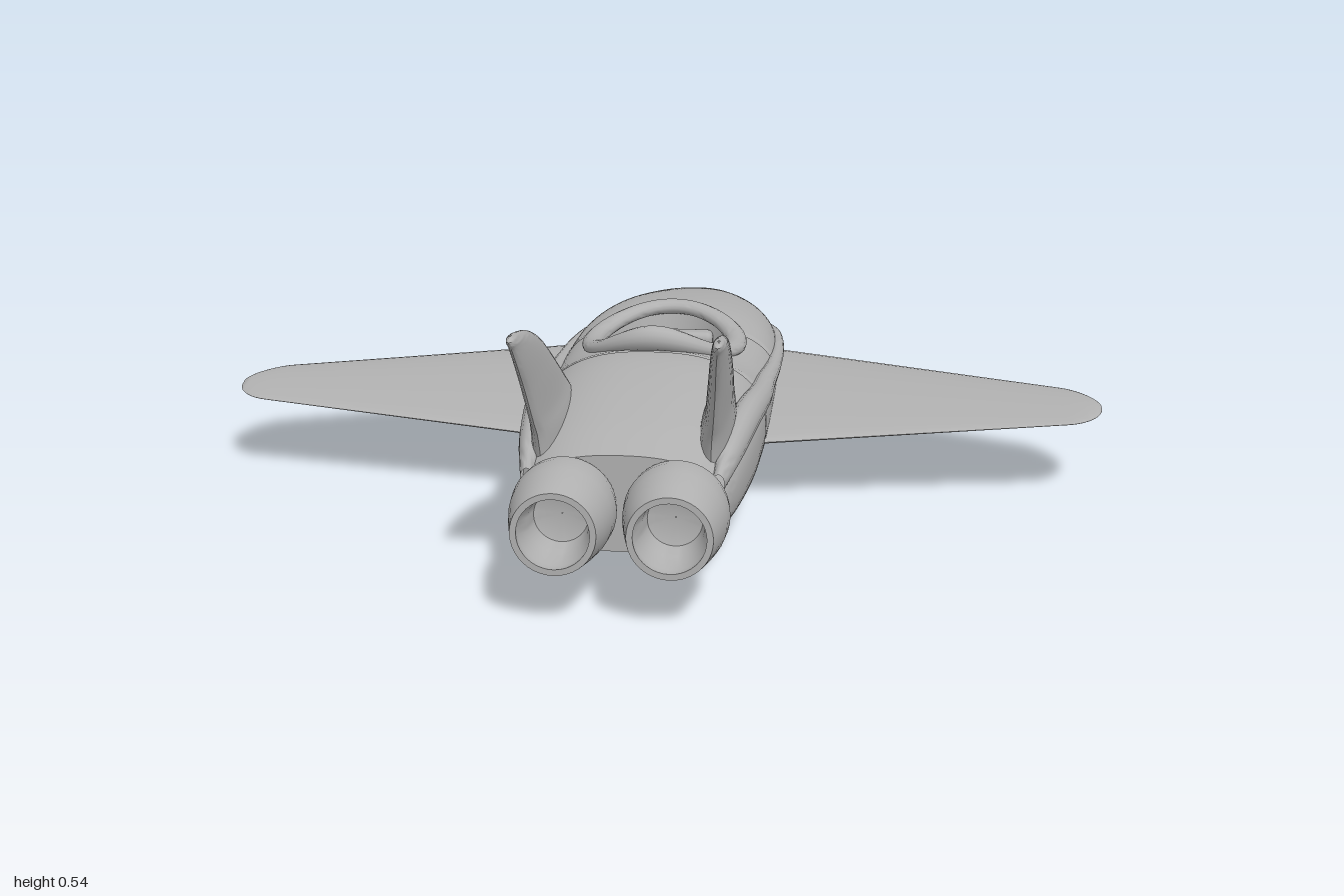
import * as THREE from 'three';
import { toCreasedNormals } from 'three/addons/utils/BufferGeometryUtils.js';
import { RoundedBoxGeometry } from 'three/addons/geometries/RoundedBoxGeometry.js';

const TAU = Math.PI * 2;

// Smooth interpolation through rows [key, a, b, ...]; returns [a, b, ...]
function follow(rows, k) {
  const n = rows.length;
  k = Math.min(Math.max(k, rows[0][0]), rows[n - 1][0]);
  let i = 0;
  while (i < n - 2 && k > rows[i + 1][0]) i++;
  const slope = (j, c) => {
    const a = rows[Math.max(j - 1, 0)], b = rows[Math.min(j + 1, n - 1)];
    return (b[c] - a[c]) / (b[0] - a[0]);
  };
  const p = rows[i], q = rows[i + 1], h = q[0] - p[0], t = (k - p[0]) / h;
  const t2 = t * t, t3 = t2 * t;
  return p.slice(1).map((_, m) => {
    const c = m + 1;
    return (2 * t3 - 3 * t2 + 1) * p[c] + (t3 - 2 * t2 + t) * h * slope(i, c)
      + (3 * t2 - 2 * t3) * q[c] + (t3 - t2) * h * slope(i + 1, c);
  });
}

// Surface from a rule at(u, v) -> [x, y, z]; quads wholly inside `skip` are left out
function loft(nu, nv, at, skip = () => false) {
  const pos = [], idx = [], out = [];
  for (let j = 0; j <= nv; j++) {
    for (let i = 0; i <= nu; i++) {
      const p = at(i / nu, j / nv);
      pos.push(...p);
      out.push(skip(p));
    }
  }
  for (let j = 0; j < nv; j++) {
    for (let i = 0; i < nu; i++) {
      const a = j * (nu + 1) + i, b = a + 1, d = a + nu + 1, c = d + 1;
      if (out[a] && out[b] && out[c] && out[d]) continue;
      idx.push(a, b, c, a, c, d);
    }
  }
  const g = new THREE.BufferGeometry();
  g.setAttribute('position', new THREE.Float32BufferAttribute(pos, 3));
  g.setIndex(idx);
  return toCreasedNormals(g, 0.75);
}

// Fuselage stations: z, half width, top, bottom, height of widest point
const BODY = [
  [-1, 0.004, 0.142, 0.136, 0.139], [-0.9, 0.058, 0.178, 0.098, 0.139], [-0.78, 0.117, 0.212, 0.06, 0.142],
  [-0.6, 0.183, 0.254, 0.03, 0.15], [-0.4, 0.226, 0.293, 0.014, 0.165], [-0.2, 0.243, 0.317, 0.006, 0.18],
  [0, 0.248, 0.318, 0.003, 0.185], [0.2, 0.246, 0.328, 0.006, 0.187], [0.35, 0.242, 0.35, 0.012, 0.19],
  [0.5, 0.236, 0.344, 0.032, 0.19], [0.7, 0.218, 0.318, 0.066, 0.19], [0.85, 0.195, 0.288, 0.1, 0.19],
];
const POWER = 2.4;
const SEAMS = [-0.775, -0.0375, 0.3125];

// Height of the fuselage top at (x, z), and its half width at (y, z)
function topAt(x, z) {
  const [hw, top, , mid] = follow(BODY, z);
  return mid + (top - mid) * Math.pow(Math.max(0, 1 - Math.pow(Math.abs(x) / hw, POWER)), 1 / POWER);
}
function sideAt(y, z) {
  const [hw, top, , mid] = follow(BODY, z);
  return hw * Math.pow(Math.max(0, 1 - Math.pow(Math.abs(y - mid) / (top - mid), POWER)), 1 / POWER);
}

// Cockpit opening ellipse
const PIT = { z: 0.0775, rx: 0.16, rz: 0.218 };
const inPit = ([x, y, z]) => y > 0.2 && Math.hypot(x / PIT.rx, (z - PIT.z) / PIT.rz) < 1;

function fuselage() {
  const rows = 147;
  const round = (c) => Math.sign(c) * Math.pow(Math.abs(c), 2 / POWER);
  return loft(96, rows + 1, (u, v) => {
    const j = Math.round(v * (rows + 1));
    const z = -1 + Math.min(j, rows) * 0.0125;
    const [hw, top, bot, mid] = follow(BODY, z);
    // Narrow grooves at the panel seams, and a flat rear bulkhead
    let s = SEAMS.some((q) => Math.abs(q - z) < 0.003) ? 0.975 : 1;
    if (j > rows) s = 0.001;
    const c = Math.cos(u * TAU), n = Math.sin(u * TAU);
    return [hw * s * round(c), mid + s * round(n) * (n > 0 ? top - mid : mid - bot), z];
  }, inPit);
}

// Raised collar around the cockpit, highest behind the seat
function cockpitRim() {
  return loft(14, 72, (u, v) => {
    const s = Math.sin(v * TAU), c = Math.cos(v * TAU), t = u * TAU;
    const back = Math.pow(Math.max(0, c), 5), front = Math.pow(Math.max(0, -c), 6);
    const x = PIT.rx * s, z = PIT.z + PIT.rz * c;
    const y = topAt(x, z) + 0.002 + 0.024 * back + 0.006 * front;
    const r = 0.024 * Math.cos(t);
    return [x + r * s, y - Math.sin(t) * (0.017 + 0.01 * back), z + r * c];
  });
}

// Cockpit walls and floor
function cockpitTub() {
  const steps = [[1, 0], [0.95, 0.35], [0.9, 0.8], [0.82, 1], [0.001, 1]];
  return loft(64, steps.length - 1, (u, v) => {
    const [k, d] = steps[Math.round(v * (steps.length - 1))];
    const s = Math.sin(u * TAU), c = Math.cos(u * TAU);
    const y = topAt(PIT.rx * s, PIT.z + PIT.rz * c);
    return [PIT.rx * k * s, y + (0.14 - y) * d, PIT.z + PIT.rz * k * c];
  });
}

// Wing with a rounded tip
function wing() {
  return loft(36, 40, (u, v) => {
    const s = Math.sin(v * Math.PI / 2), x = 0.2 + 0.77 * s, t = u * TAU;
    const k = Math.sqrt(Math.max(0, 1 - Math.pow(Math.max(0, x - 0.89) / 0.08, 2)));
    const lead = 0.1 + (-0.485 + 0.493 * (x - 0.2)) * k;
    const trail = 0.1 + (0.217 - 0.149 * (x - 0.2)) * k;
    const thick = (0.062 - 0.047 * s) * Math.sqrt(k) * (0.7 + 0.3 * Math.cos(t));
    return [x, 0.147 + 0.036 * s + thick * Math.sin(t),
      (lead + trail) / 2 - (trail - lead) / 2 * Math.cos(t)];
  });
}

// Swept tail fin: height, leading edge z, trailing edge z, centre x, half thickness
const FIN = [
  [0.235, 0.4, 0.78, 0.162, 0.04], [0.31, 0.45, 0.8, 0.166, 0.032], [0.345, 0.49, 0.82, 0.17, 0.026],
  [0.42, 0.6, 0.865, 0.177, 0.022], [0.48, 0.7, 0.91, 0.182, 0.018], [0.52, 0.8, 0.94, 0.186, 0.014],
  [0.538, 0.88, 0.957, 0.188, 0.01], [0.546, 0.93, 0.94, 0.189, 0.002],
];
function fin() {
  return loft(28, 36, (u, v) => {
    const y = 0.235 + 0.311 * Math.sin(v * Math.PI / 2);
    const [lead, trail, x, half] = follow(FIN, y), t = u * TAU;
    return [x + half * Math.sin(t), y, (lead + trail) / 2 + (trail - lead) / 2 * Math.cos(t)];
  });
}

// Strake along the flank: z, height, half thickness, half height
const STRAKE = [
  [-0.47, 0.2, 0.001, 0.001], [-0.36, 0.207, 0.012, 0.01], [0, 0.232, 0.018, 0.018], [0.3, 0.258, 0.026, 0.027],
  [0.5, 0.272, 0.03, 0.034], [0.7, 0.262, 0.026, 0.032], [0.84, 0.24, 0.012, 0.02],
];
function strake() {
  return loft(16, 60, (u, v) => {
    const z = -0.47 + 1.31 * v, t = u * TAU;
    const [y, w, h] = follow(STRAKE, z);
    return [sideAt(y, z) + 0.002 + w * Math.cos(t), y + h * Math.sin(t), z];
  });
}

// Hollow exhaust nozzle
function nozzle() {
  const profile = [[0.05, 0.8], [0.086, 0.81], [0.086, 0.838], [0.098, 0.845], [0.101, 0.87], [0.098, 0.91], [0.089, 0.96],
    [0.08, 1], [0.068, 1], [0.07, 0.975], [0.058, 0.94], [0.052, 0.9], [0.001, 0.885]];
  const g = new THREE.LatheGeometry(profile.map(([r, z]) => new THREE.Vector2(r, z)), 40);
  g.rotateX(Math.PI / 2);
  return toCreasedNormals(g, 0.6);
}

export function createModel() {
  const model = new THREE.Group();
  model.name = 'jet';
  const grey = new THREE.MeshStandardMaterial({ color: 0xb0b0b0, side: THREE.DoubleSide });
  grey.name = 'plain grey';
  const add = (name, geometry, parent = model) => {
    const mesh = new THREE.Mesh(geometry, grey);
    mesh.name = name;
    parent.add(mesh);
    return mesh;
  };

  add('fuselage', fuselage());
  add('cockpitRim', cockpitRim());
  add('cockpitTub', cockpitTub());

  // Reclined seat with padded rolls
  const seat = new THREE.Group();
  seat.name = 'seat';
  model.add(seat);
  add('cushion', new RoundedBoxGeometry(0.19, 0.05, 0.15, 3, 0.02), seat).position.set(0, 0.165, 0.02);
  const back = new THREE.Group();
  back.name = 'seatBack';
  back.position.set(0, 0.235, 0.16);
  back.rotation.x = 0.75;
  seat.add(back);
  add('backrest', new RoundedBoxGeometry(0.2, 0.2, 0.04, 3, 0.018), back);
  for (const x of [-0.05, 0, 0.05]) {
    add('backRoll', new THREE.CapsuleGeometry(0.024, 0.11, 6, 14), back).position.set(x, 0, -0.015);
  }
  for (const x of [-0.098, 0.098]) {
    add('sideBolster', new THREE.CapsuleGeometry(0.02, 0.13, 6, 14), back).position.set(x, 0, -0.02);
  }
  add('dashboard', new RoundedBoxGeometry(0.19, 0.09, 0.05, 3, 0.015)).position.set(0, 0.24, -0.08);

  // Mirrored pairs
  const parts = { Wing: wing(), TailFin: fin(), Strake: strake(), Nozzle: nozzle() };
  for (const [side, s] of [['left', 1], ['right', -1]]) {
    for (const [name, geometry] of Object.entries(parts)) {
      const mesh = add(side + name, geometry);
      mesh.scale.x = s;
      if (name === 'Nozzle') mesh.position.set(0.107 * s, 0.19, 0);
    }
  }
  return model;
}
